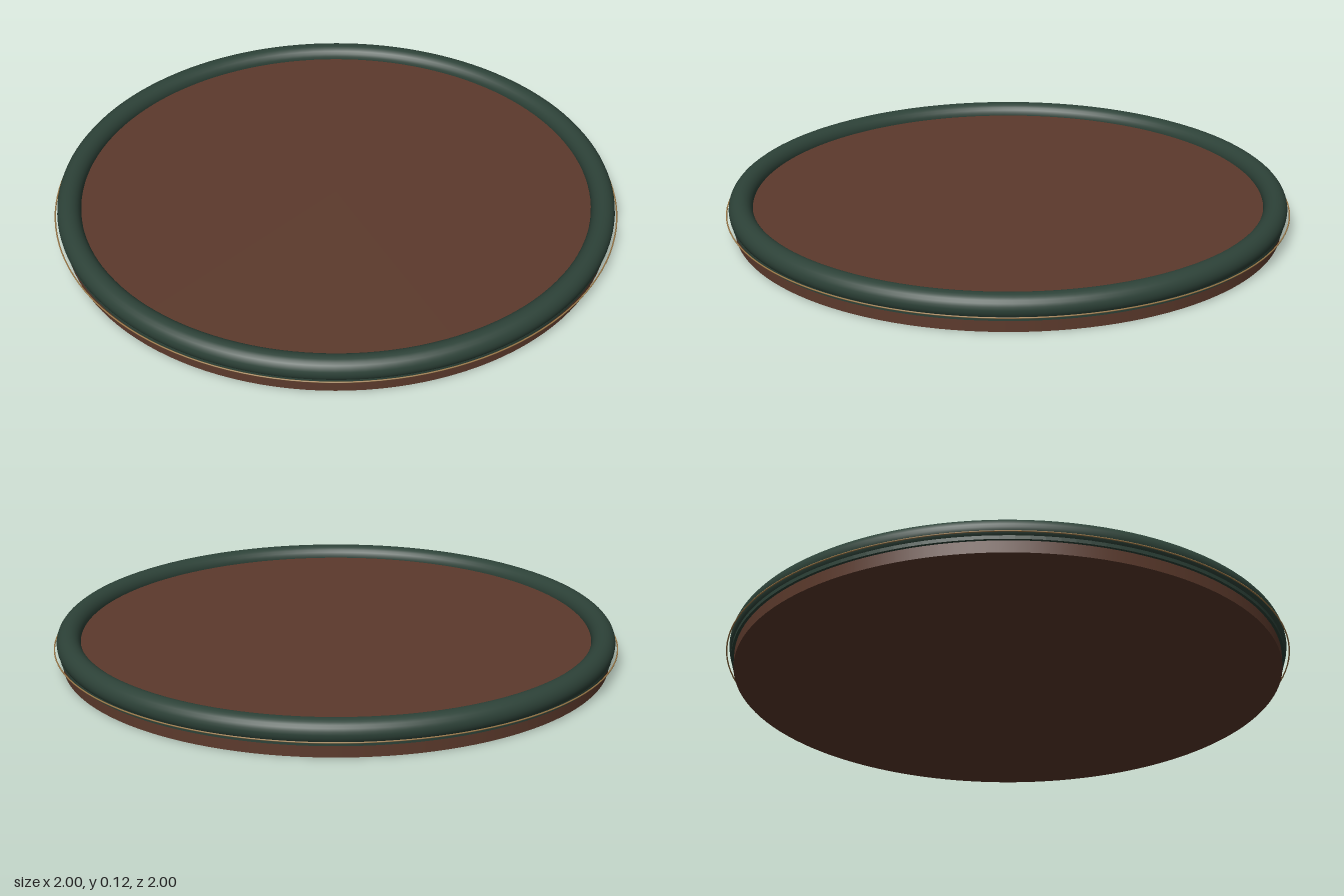
import * as THREE from 'three';

export function createModel() {
  const group = new THREE.Group();
  const brown = new THREE.MeshStandardMaterial({ color: 0x5c3a2c });
  const green = new THREE.MeshStandardMaterial({ color: 0x2d4238 });
  const tan = new THREE.MeshStandardMaterial({ color: 0x9a7848 });
  brown.name = 'brown wood';
  green.name = 'dark green padding';
  tan.name = 'tan trim';

  const add = (name, geometry, material, y) => {
    const mesh = new THREE.Mesh(geometry, material);
    mesh.name = name;
    mesh.position.y = y;
    group.add(mesh);
    return mesh;
  };
  const ring = (radius, tube, sides) =>
    new THREE.TorusGeometry(radius, tube, sides, 128).rotateX(Math.PI / 2);

  // Solid round board
  add('board', new THREE.CylinderGeometry(0.97, 0.97, 0.08, 128), brown, 0.04);

  // Rounded padded rim
  add('rim', ring(0.947, 0.042, 24), green, 0.08);

  // Narrow skirt under the rim
  const skirt = [[0.965, 0.042], [0.98, 0.042], [0.98, 0.06]].map(p => new THREE.Vector2(...p));
  add('rimSkirt', new THREE.LatheGeometry(skirt, 128).toNonIndexed(), green, 0).geometry.computeVertexNormals();

  // Fine wire trim around the outside
  add('trimWire', ring(0.9975, 0.0025, 8), tan, 0.06);

  return group;
}
